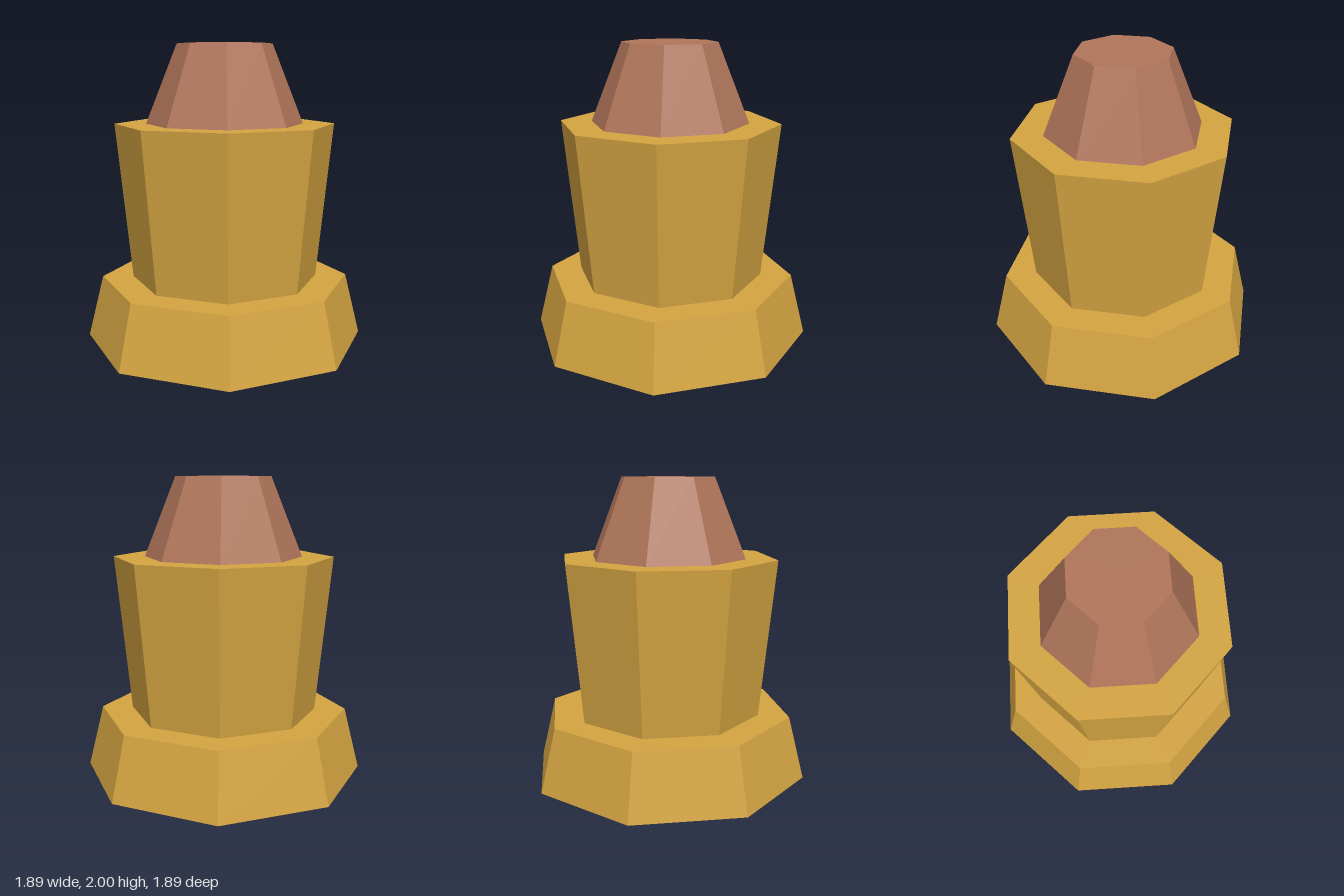
import * as THREE from 'three';

export function createModel() {
  const group = new THREE.Group();
  const brass = new THREE.MeshStandardMaterial({ color: 0xd4a441, flatShading: true });
  const copper = new THREE.MeshStandardMaterial({ color: 0xb0755a, flatShading: true });

  // Eight-sided tapered section standing on height y
  const section = (name, material, topRadius, bottomRadius, y, height) => {
    const mesh = new THREE.Mesh(new THREE.CylinderGeometry(topRadius, bottomRadius, height, 8), material);
    mesh.name = name;
    mesh.position.y = y + height / 2;
    group.add(mesh);
  };

  section('base', brass, 0.842, 0.947, 0, 0.421); // wide foot
  section('body', brass, 0.737, 0.632, 0.421, 1.053); // flares upward
  section('tip', copper, 0.316, 0.526, 1.474, 0.526); // blunt nose

  return group;
}
